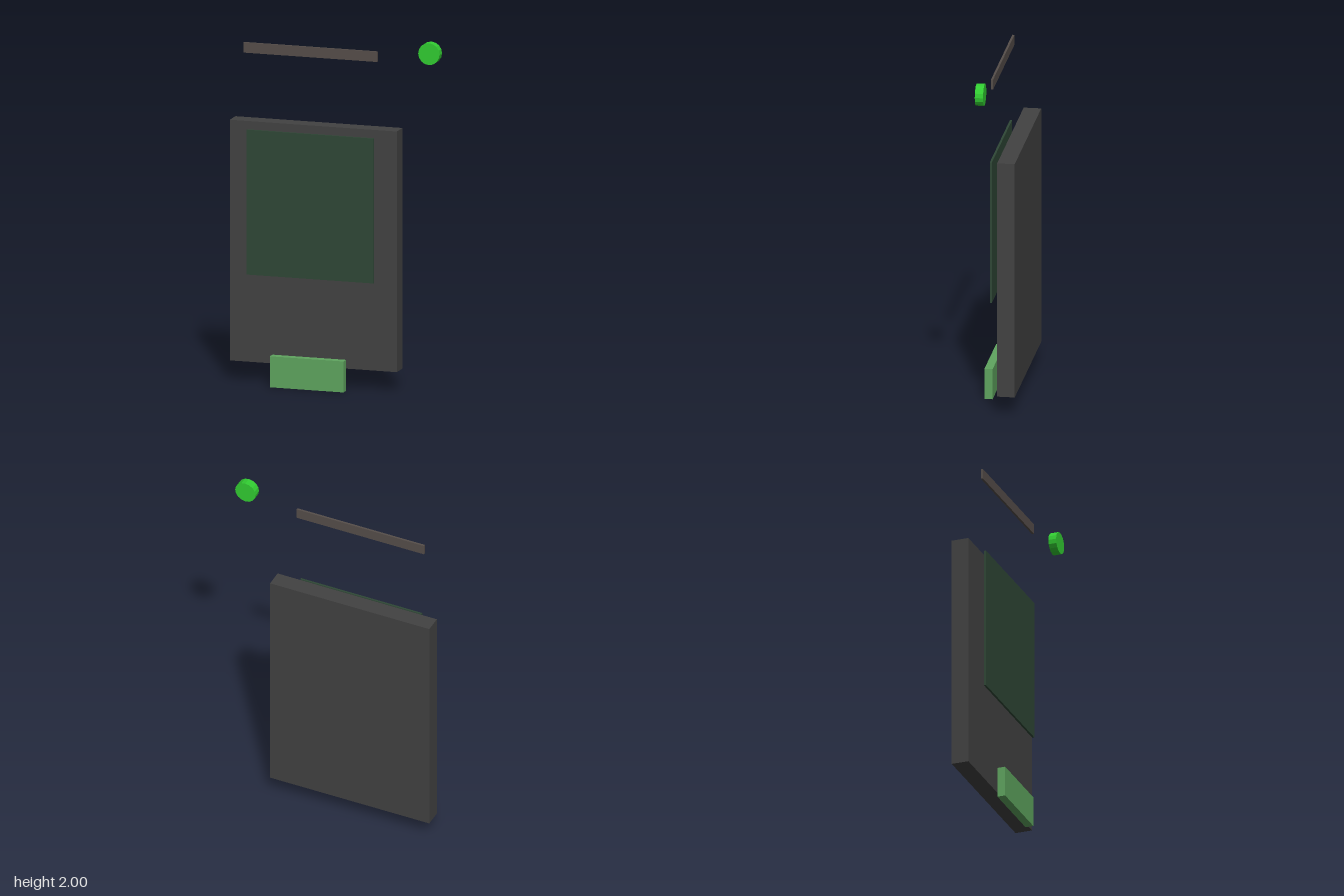
import * as THREE from 'three';

const material = (color) => new THREE.MeshStandardMaterial({ color, flatShading: true });

// Box given by its extents along each axis
function slab(name, color, [x0, x1], [y0, y1], [z0, z1]) {
  const mesh = new THREE.Mesh(new THREE.BoxGeometry(x1 - x0, y1 - y0, z1 - z0), material(color));
  mesh.position.set((x0 + x1) / 2, (y0 + y1) / 2, (z0 + z1) / 2);
  mesh.name = name;
  return mesh;
}

export function createModel() {
  const model = new THREE.Group();
  model.name = 'explodedDevice';

  // Case, display panel, upper strip and lower button, spread apart
  model.add(
    slab('case', 0x424242, [-0.624, 0.346], [0.11, 1.469], [-0.107, -0.009]),
    slab('screen', 0x2f4736, [-0.508, 0.23], [0.615, 1.433], [0.038, 0.05]),
    slab('topStrip', 0x564e4a, [-0.528, 0.248], [1.865, 1.923], [0.028, 0.04]),
    slab('bottomButton', 0x5fa55f, [-0.354, 0.074], [0, 0.175], [0.058, 0.104])
  );

  // Round button facing forward
  const disc = new THREE.Mesh(new THREE.CylinderGeometry(0.062, 0.062, 0.046, 16), material(0x32cd32));
  disc.rotation.x = Math.PI / 2;
  disc.position.set(0.56, 1.938, 0.051);
  disc.name = 'roundButton';
  model.add(disc);

  return model;
}
